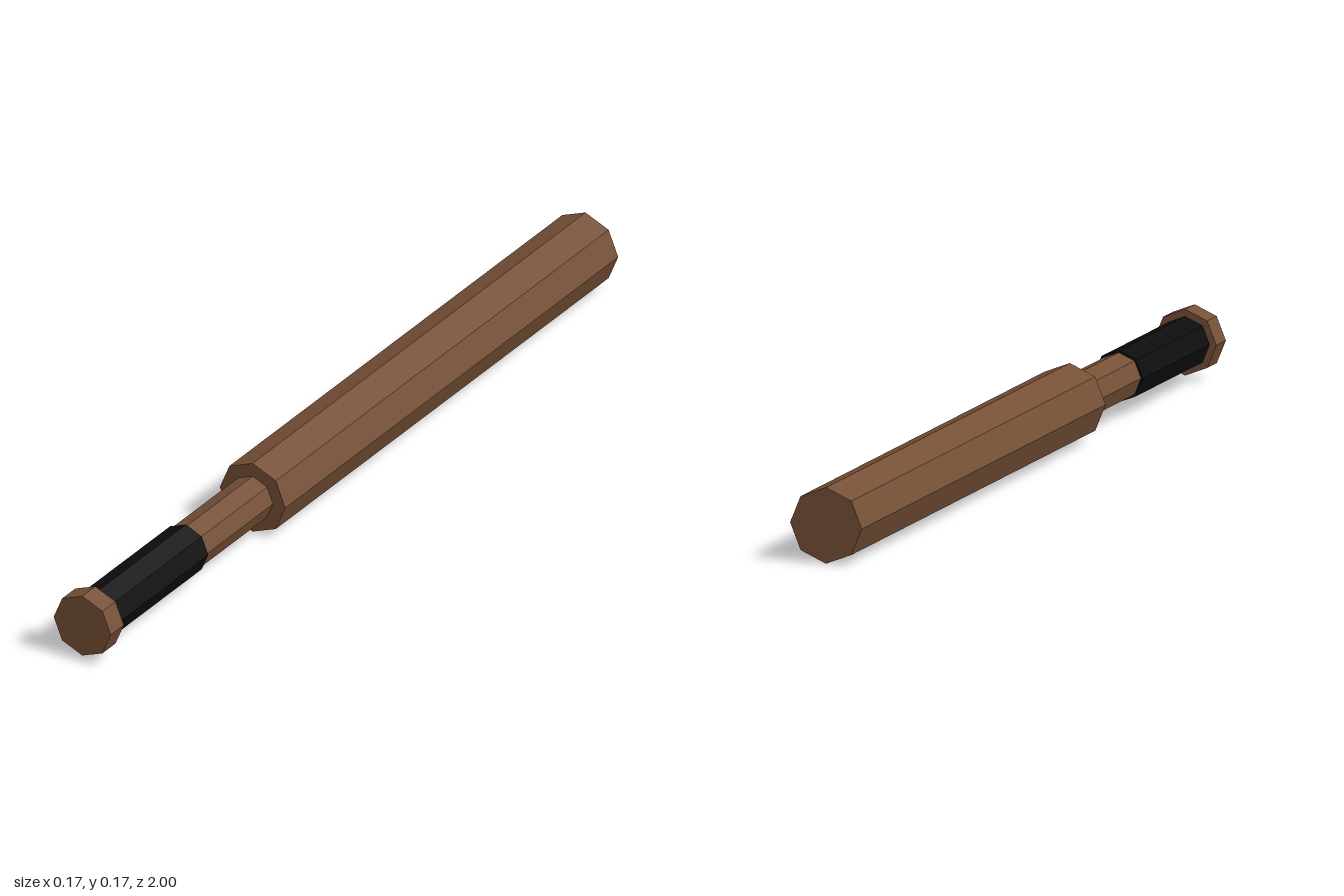
import * as THREE from 'three';

const SIDES = 8;
const AXIS_Y = 0.085; // height of the long axis

export function createModel() {
  const group = new THREE.Group();
  group.name = 'bat';

  const wood = new THREE.MeshStandardMaterial({ color: 0x765037 });
  wood.name = 'brown wood';
  const wrap = new THREE.MeshStandardMaterial({ color: 0x0d0d0d });
  wrap.name = 'black wrap';
  wood.flatShading = wrap.flatShading = true;

  // Octagonal section along z, with corners at the top and bottom
  function section(name, radius, zBack, zFront, material) {
    const geometry = new THREE.CylinderGeometry(radius, radius, zFront - zBack, SIDES);
    geometry.rotateX(Math.PI / 2);
    const mesh = new THREE.Mesh(geometry, material);
    mesh.name = name;
    mesh.position.set(0, AXIS_Y, (zBack + zFront) / 2);
    group.add(mesh);
  }

  section('barrel', 0.085, -1, 0.323, wood);
  section('handle', 0.053, 0.323, 0.95, wood);
  section('grip', 0.058, 0.588, 0.948, wrap);
  section('knob', 0.074, 0.948, 1, wood);

  return group;
}
